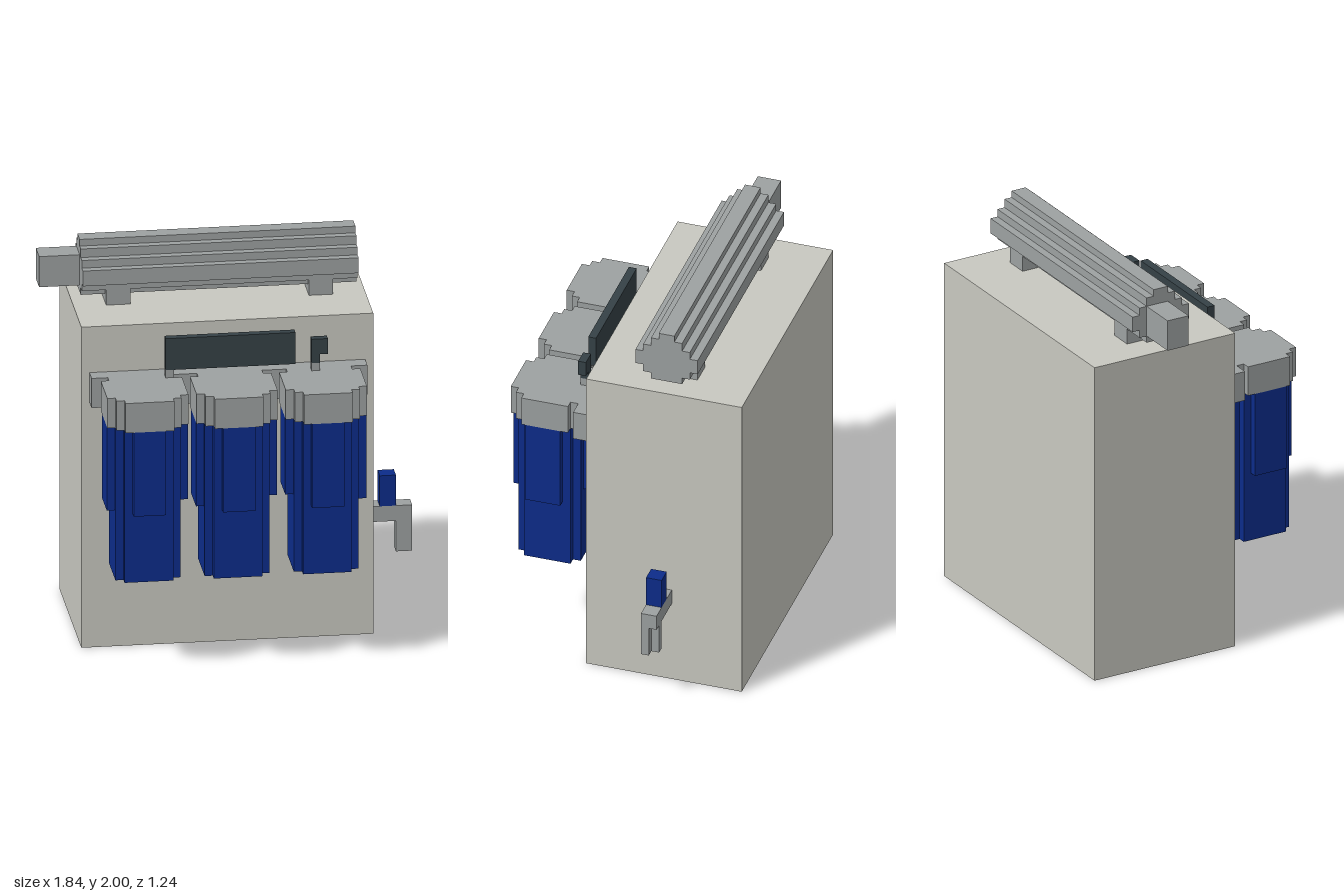
import * as THREE from 'three';

const mat = (name, color) => {
  const m = new THREE.MeshStandardMaterial({ color });
  m.name = name;
  return m;
};

export function createModel() {
  const model = new THREE.Group();
  model.name = 'waterPurifier';
  const cream = mat('cream', 0xc8c8c0);
  const grey = mat('grey', 0x9da1a1);
  const blue = mat('blue', 0x0c2c8a);
  const dark = mat('darkSlate', 0x354146);

  // Box given by its limits on each axis
  function box(name, material, [x0, x1], [y0, y1], [z0, z1], parent = model) {
    const mesh = new THREE.Mesh(new THREE.BoxGeometry(x1 - x0, y1 - y0, z1 - z0), material);
    mesh.position.set((x0 + x1) / 2, (y0 + y1) / 2, (z0 + z1) / 2);
    mesh.name = name;
    parent.add(mesh);
    return mesh;
  }

  // Prism with a stepped outline, mirrored from points on its right half (bottom to top)
  function steppedPrism(right, depth) {
    const left = right.map(([x, y]) => [-x, y]).reverse();
    const shape = new THREE.Shape([...right, ...left].map(([x, y]) => new THREE.Vector2(x, y)));
    return new THREE.ExtrudeGeometry(shape, { depth, bevelEnabled: false });
  }

  box('cabinet', cream, [-0.76, 0.68], [0, 1.68], [-0.62, 0.18]);

  // Lamp cylinder lying on top, with its end pipe and two feet
  const lampOutline = [
    [0.08, 1.725], [0.08, 1.76], [0.12, 1.76], [0.12, 1.80], [0.16, 1.80], [0.16, 1.88],
    [0.12, 1.88], [0.12, 1.92], [0.08, 1.92], [0.08, 1.965], [0.04, 1.965], [0.04, 2],
  ];
  const lamp = new THREE.Mesh(steppedPrism(lampOutline, 1.36).rotateY(Math.PI / 2), grey);
  lamp.position.set(-0.72, 0, -0.22);
  lamp.name = 'topCylinder';
  model.add(lamp);
  box('endPipe', grey, [-0.92, -0.72], [1.76, 1.92], [-0.30, -0.18]);
  for (const x of [-0.60, 0.40]) box('cylinderFoot', grey, [x, x + 0.12], [1.68, 1.76], [-0.34, -0.10]);

  // Filter bracket, caps and bowls
  box('filterBracket', grey, [-0.72, 0.64], [1.285, 1.44], [0.18, 0.26]);
  const capOutline = [
    [0.12, -0.20], [0.12, -0.16], [0.16, -0.16], [0.16, -0.12], [0.20, -0.12],
    [0.20, 0.12], [0.16, 0.12], [0.16, 0.16], [0.12, 0.16], [0.12, 0.20],
  ];
  const bowlOutline = [[0.12, -0.16], [0.12, -0.12], [0.16, -0.12], [0.16, 0.12], [0.12, 0.12], [0.12, 0.16]];
  const capGeometry = steppedPrism(capOutline, 0.155).rotateX(-Math.PI / 2);
  const bowlGeometry = steppedPrism(bowlOutline, 0.80).rotateX(-Math.PI / 2);

  // The third filter has its longer side rib on the other side
  for (const [x, longSide] of [[-0.48, -1], [-0.04, -1], [0.40, 1]]) {
    const filter = new THREE.Group();
    filter.name = 'filter';
    filter.position.set(x, 0, 0.42);
    model.add(filter);
    const cap = new THREE.Mesh(capGeometry, grey);
    cap.name = 'filterCap';
    cap.position.y = 1.285;
    const bowl = new THREE.Mesh(bowlGeometry, blue);
    bowl.name = 'filterBowl';
    bowl.position.y = 0.485;
    filter.add(cap, bowl);
    box('frontRib', blue, [-0.08, 0.08], [0.845, 1.285], [0.16, 0.20], filter);
    box('backRib', blue, [-0.08, 0.08], [0.885, 1.285], [-0.20, -0.16], filter);
    for (const s of [-1, 1]) {
      const bottom = s === longSide ? 0.845 : 0.885;
      box('sideRib', blue, s > 0 ? [0.16, 0.20] : [-0.20, -0.16], [bottom, 1.285], [-0.08, 0.10], filter);
    }
  }

  // Gauge panel and small gauge standing on the bracket
  const gaugeDepth = [0.26, 0.30];
  box('panelPost', grey, [-0.36, -0.32], [1.44, 1.48], gaugeDepth);
  box('panel', dark, [-0.36, 0.28], [1.48, 1.645], gaugeDepth);
  box('gaugePost', grey, [0.36, 0.40], [1.44, 1.48], gaugeDepth);
  box('gaugeStem', dark, [0.36, 0.40], [1.48, 1.605], gaugeDepth);
  box('gaugeHead', dark, [0.40, 0.44], [1.525, 1.605], gaugeDepth);

  // Side tap
  box('tapArm', grey, [0.68, 0.92], [0.445, 0.525], [-0.26, -0.18]);
  box('tapSpoutFront', grey, [0.84, 0.92], [0.285, 0.445], [-0.22, -0.18]);
  box('tapSpoutBack', grey, [0.84, 0.88], [0.285, 0.445], [-0.26, -0.22]);
  box('tapHandle', blue, [0.76, 0.84], [0.525, 0.685], [-0.26, -0.18]);

  return model;
}
